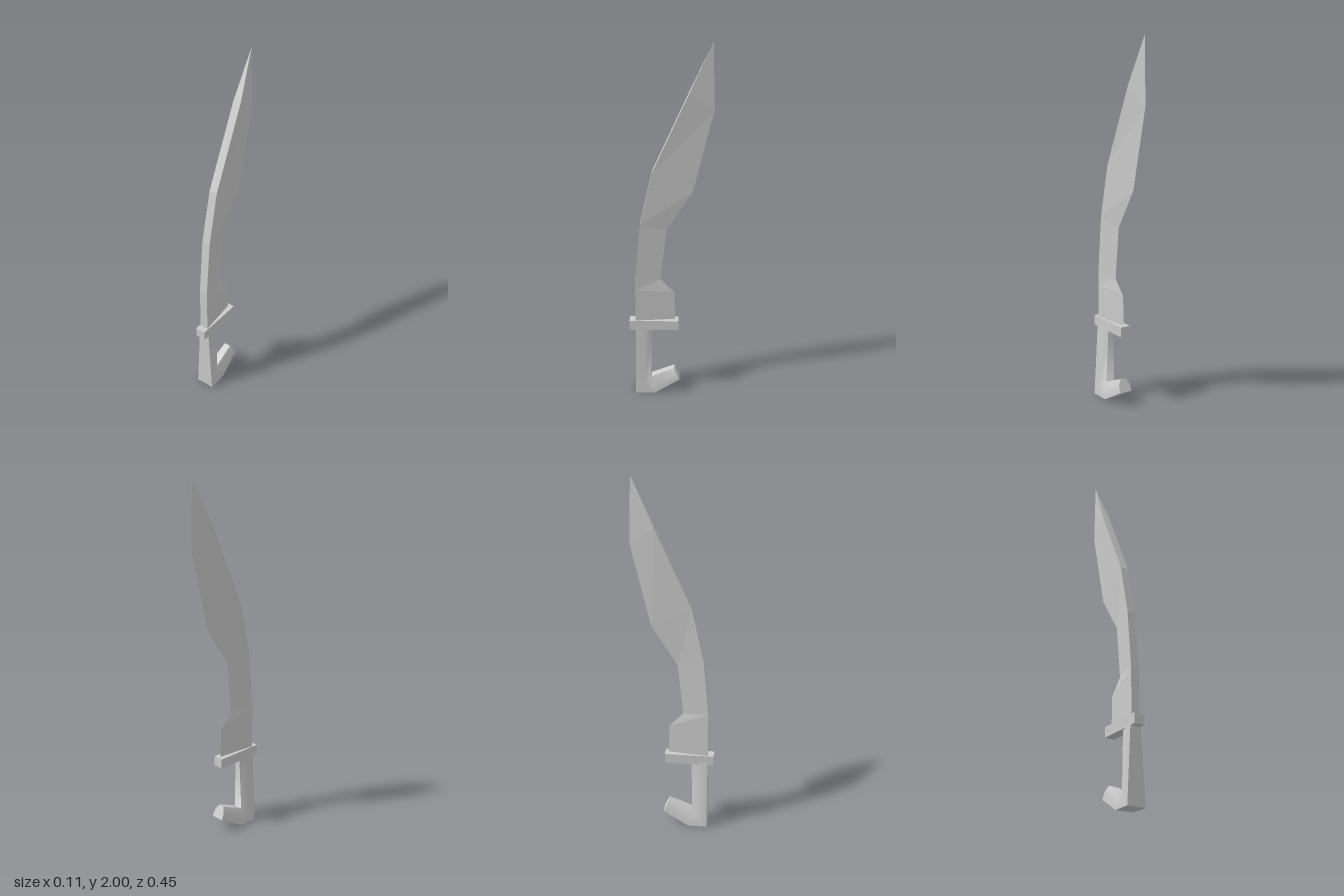
import * as THREE from 'three';
import { toCreasedNormals } from 'three/addons/utils/BufferGeometryUtils.js';

// Skin a list of closed rings (each an array of [x, y, z]) and cap both ends
function loft(rings, crease) {
  const n = rings[0].length, index = [];
  for (let s = 0; s < rings.length - 1; s++) {
    for (let i = 0; i < n; i++) {
      const a = s * n + i, b = s * n + (i + 1) % n;
      index.push(a, b, b + n, a, b + n, a + n);
    }
  }
  const top = (rings.length - 1) * n;
  for (let i = 1; i < n - 1; i++) {
    index.push(0, i + 1, i, top, top + i, top + i + 1);
  }
  const geo = new THREE.BufferGeometry();
  geo.setAttribute('position', new THREE.Float32BufferAttribute(rings.flat(2), 3));
  geo.setIndex(index);
  return toCreasedNormals(geo, crease);
}

export function createModel() {
  const model = new THREE.Group();
  const sword = new THREE.Group();
  sword.name = 'sword';
  sword.rotation.y = 0.09;
  sword.position.x = -0.015;
  model.add(sword);

  const add = (name, geometry, flatShading = false) => {
    const mesh = new THREE.Mesh(geometry, new THREE.MeshStandardMaterial({ color: 0xcccccc, flatShading }));
    mesh.name = name;
    sword.add(mesh);
    return mesh;
  };

  // Curved blade: thick spine at the front, sharp edge at the back
  // Stations: spine z, spine y, edge z, edge y, half thickness of spine
  const blade = [
    [0.19, 0.44, -0.03, 0.44, 0.024],
    [0.19, 0.64, -0.025, 0.62, 0.024],
    [0.19, 0.71, 0.05, 0.70, 0.024],
    [0.16, 1.03, 0.02, 0.99, 0.024],
    [0.095, 1.32, -0.12, 1.21, 0.023],
    [-0.10, 1.75, -0.225, 1.65, 0.022],
    [-0.215, 2.0, -0.216, 1.998, 0.0005],
  ].map(([sz, sy, ez, ey, h]) => [[h, sy, sz], [0, ey, ez], [-h, sy, sz]]);
  add('blade', loft(blade, 0.3), true);

  // Guard
  const guard = add('guard', new THREE.BoxGeometry(0.058, 0.056, 0.272), true);
  guard.position.set(0, 0.426, 0.088);

  // Grip that widens downwards and turns back into a hooked pommel
  // Stations: outer z, outer y, inner z, inner y, half width
  const section = [[1, 0], [0.95, 0.55], [0.5, 1], [-0.5, 1], [-0.95, 0.55], [-1, 0]];
  const grip = [
    [-0.055, 0.08, -0.025, 0.147, 0.037],
    [0.085, 0, 0.104, 0.092, 0.05],
    [0.192, 0, 0.107, 0.095, 0.052],
    [0.19, 0.41, 0.10, 0.41, 0.03],
  ].map(([oz, oy, iz, iy, w]) => section.map(([u, t]) => [
    u * w, oy + (iy - oy) * t, oz + (iz - oz) * t,
  ]));
  add('grip', loft(grip, 0.95));

  return model;
}
